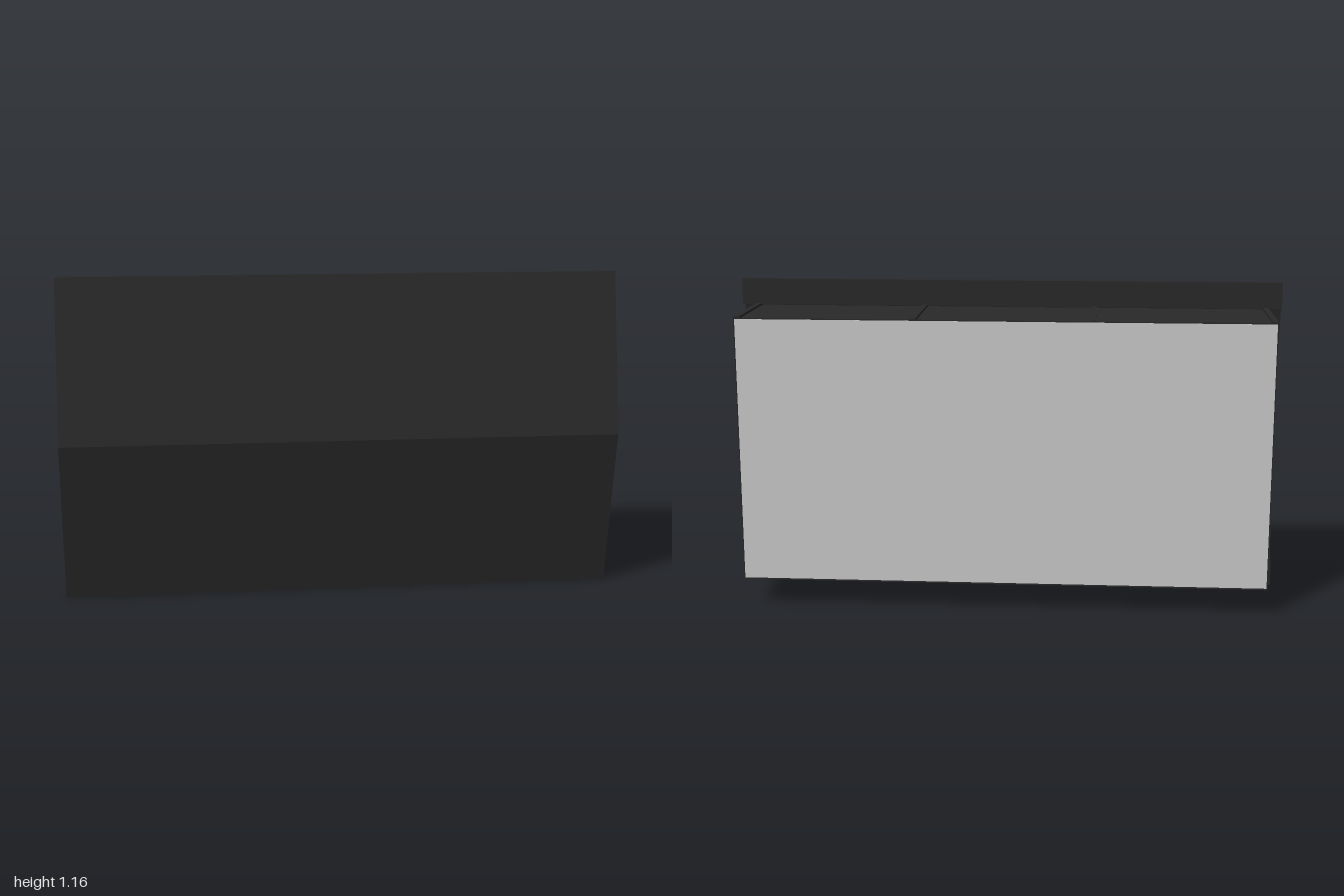
import * as THREE from 'three';

const dark = new THREE.MeshStandardMaterial({ color: 0x292929 });
const grey = new THREE.MeshStandardMaterial({ color: 0xcccccc });

// Box given by its minimum and maximum corners
function box(parent, name, min, max, material) {
  const size = max.map((v, i) => v - min[i]);
  const mesh = new THREE.Mesh(new THREE.BoxGeometry(...size), material);
  mesh.position.set(...max.map((v, i) => (v + min[i]) / 2));
  mesh.name = name;
  parent.add(mesh);
  return mesh;
}

// Profile of [z, y] points extruded along x, centred on the given x
function extrudeX(parent, name, points, width, x, material) {
  const shape = new THREE.Shape(points.map(([z, y]) => new THREE.Vector2(-z, y)));
  const geometry = new THREE.ExtrudeGeometry(shape, { depth: width, bevelEnabled: false });
  geometry.translate(0, 0, -width / 2);
  geometry.rotateY(Math.PI / 2);
  const mesh = new THREE.Mesh(geometry, material);
  mesh.position.x = x;
  mesh.name = name;
  parent.add(mesh);
}

// Diagonal slats clipped to a rectangle on the underside
function slattedVent(parent, x, z, w, d) {
  const vent = new THREE.Group();
  vent.name = 'slattedVent';
  vent.position.set(x, 0.102, z);
  for (const s of [-1, 1]) {
    box(vent, 'ventFrame', [-w / 2, -0.002, s * d / 2 - 0.002], [w / 2, 0.002, s * d / 2 + 0.002], grey);
    box(vent, 'ventFrame', [s * w / 2 - 0.002, -0.002, -d / 2], [s * w / 2 + 0.002, 0.002, d / 2], grey);
  }
  // Each slat follows the line px + pz = c
  for (let i = 1; i < 9; i++) {
    const c = -(w + d) / 2 + i * (w + d) / 9;
    const x0 = Math.max(-w / 2, c - d / 2), x1 = Math.min(w / 2, c + d / 2);
    const slat = new THREE.Mesh(new THREE.BoxGeometry((x1 - x0) * Math.SQRT2, 0.004, 0.004), grey);
    slat.position.set((x0 + x1) / 2, 0, c - (x0 + x1) / 2);
    slat.rotation.y = Math.PI / 4;
    slat.name = 'ventSlat';
    vent.add(slat);
  }
  parent.add(vent);
}

export function createModel() {
  const model = new THREE.Group();
  model.name = 'wallCabinet';

  // Folded front sheet with lips turned back at top and bottom
  const H = 1.16, M = H / 2, t = 0.008;
  const sheet = [
    [0.107, 0], [0.13, 0], [0.24, M], [0.13, H], [0.107, H], [0.107, H - 0.095], [0.107 + t, H - 0.095],
    [0.107 + t, H - t], [0.13 - t, H - t], [0.24 - t, M], [0.13 - t, t], [0.107 + t, t],
    [0.107 + t, 0.095], [0.107, 0.095],
  ];
  extrudeX(model, 'frontSheet', sheet, 2, 0, dark);

  // Pale end plates closing the fold
  const plate = [[0.115, t], [0.13 - t, t], [0.24 - t, M], [0.13 - t, H - t], [0.115, H - t]];
  for (const s of [-1, 1]) extrudeX(model, 'endPlate', plate, 0.008, s * 0.94, grey);

  // Cabinet shell: upright walls, slightly proud of the top and floor
  const walls = [-0.94, -0.315, 0.315, 0.94];
  for (const x of walls) {
    box(model, 'uprightWall', [x - 0.01, 0.103, -0.24], [x + 0.01, 1.068, 0.138], dark);
    box(model, 'wallFoot', [x - 0.01, 0.1, -0.237], [x + 0.01, 0.103, 0.11], grey);
  }
  for (let i = 0; i < 3; i++) {
    const a = walls[i] + 0.01, b = walls[i + 1] - 0.01;
    box(model, 'topPanel', [a, 1.045, -0.238], [b, 1.06, 0.125], dark);
    box(model, 'floorPanel', [a, 0.105, -0.238], [b, 0.12, 0.125], dark);
  }

  // Back panel with thin dark edging
  box(model, 'backPanel', [-0.946, 0.106, -0.241], [0.946, 1.06, -0.225], grey);
  box(model, 'backTopEdge', [-0.95, 1.058, -0.24], [0.95, 1.064, -0.23], dark);
  box(model, 'backBottomEdge', [-0.95, 0.1, -0.24], [0.95, 0.106, -0.23], dark);

  // Underside fittings: one service plate and two vents in each bay
  const bays = [
    { plate: [0.325, 0.5], vents: [0.62, 0.82], slatted: false },
    { plate: [0.1, 0.3], vents: [-0.04, -0.22], slatted: true },
    { plate: [-0.53, -0.335], vents: [-0.65, -0.84], slatted: true },
  ];
  for (const { plate: [a, b], vents, slatted } of bays) {
    box(model, 'servicePlate', [a, 0.1, -0.21], [b, 0.106, 0.1], grey);
    for (const x of vents) {
      if (slatted) slattedVent(model, x, 0.03, 0.15, 0.12);
      else box(model, 'ventCover', [x - 0.07, 0.1, -0.01], [x + 0.07, 0.106, 0.08], grey);
    }
  }
  // Thin hanging strip behind the plain vents
  box(model, 'hangingStrip', [0.54, 0.075, -0.059], [0.9, 0.106, -0.052], dark);

  return model;
}
